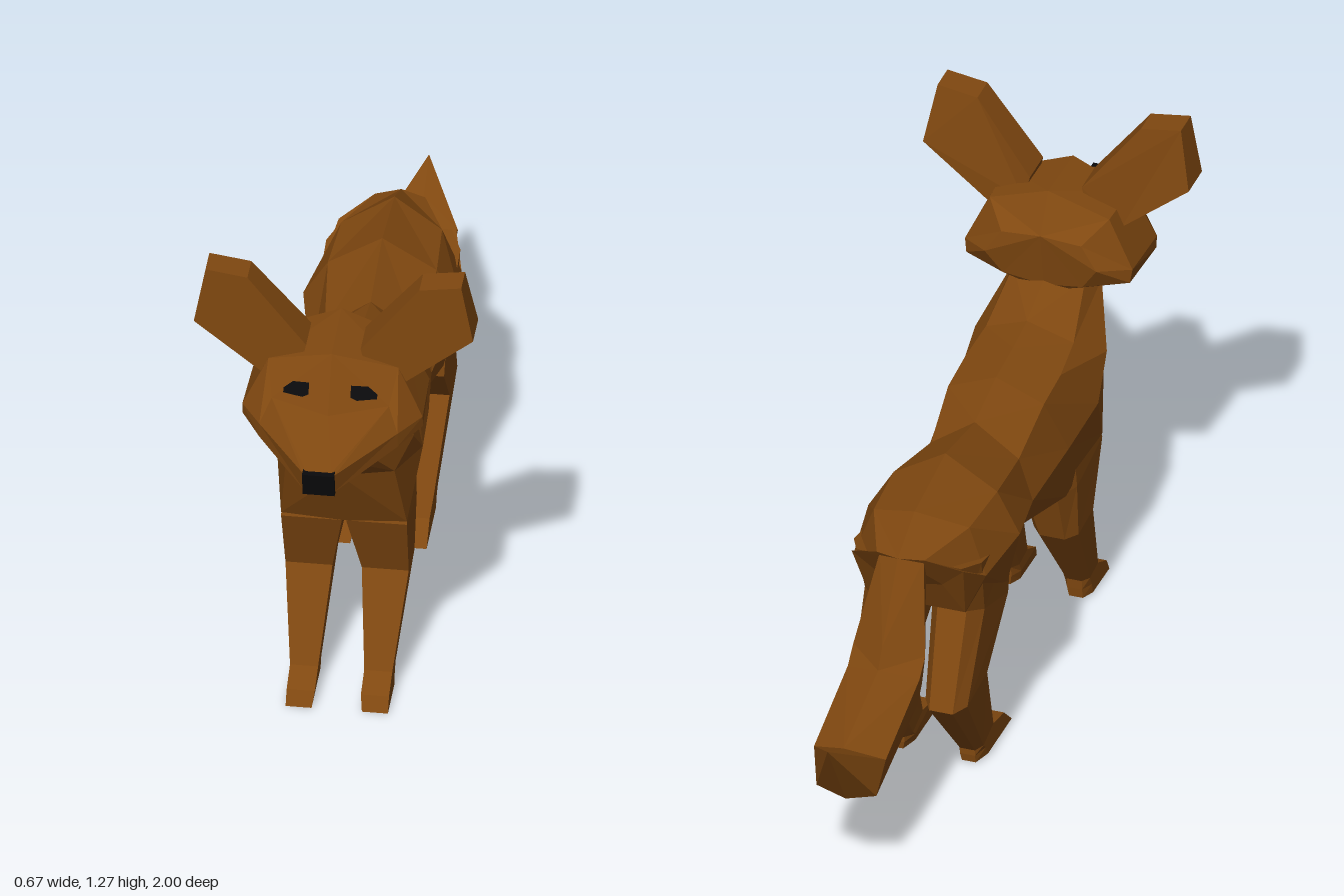
import * as THREE from 'three';

const fur = new THREE.MeshStandardMaterial({ color: 0x804810, flatShading: true });
fur.name = 'brown fur';
const black = new THREE.MeshStandardMaterial({ color: 0x0a0a0c, flatShading: true, side: THREE.DoubleSide });
black.name = 'black';

// Skins cross-sections and adds the mirror image across x = 0.
// Open sections are half profiles from top to bottom; closed ones are full rings.
function loft(sections, closed = false) {
  const pos = [];
  const tri = (a, b, c) => {
    pos.push(...a, ...b, ...c);
    for (const [x, y, z] of [a, c, b]) pos.push(-x, y, z);
  };
  const n = sections[0].length;
  const last = sections.length - 1;
  for (let i = 0; i < last; i++) {
    const s = sections[i], t = sections[i + 1];
    for (let j = 0; j < (closed ? n : n - 1); j++) {
      const k = (j + 1) % n;
      tri(s[j], t[j], t[k]);
      tri(s[j], t[k], s[k]);
    }
  }
  for (let j = 1; j < n - 1; j++) {
    tri(sections[0][0], sections[0][j], sections[0][j + 1]);
    tri(sections[last][0], sections[last][j + 1], sections[last][j]);
  }
  const g = new THREE.BufferGeometry();
  g.setAttribute('position', new THREE.Float32BufferAttribute(pos, 3));
  g.computeVertexNormals();
  return g;
}

// Leg ring: front and back heights and depths, inner and outer x; the back is bevelled.
function legRing([yf, zf, yb, zb, xi, xo]) {
  const ym = yf + (yb - yf) * 0.78, zm = zf + (zb - zf) * 0.78, b = (xo - xi) * 0.22;
  return [[xi, yf, zf], [xo, yf, zf], [xo, ym, zm], [xo - b, yb, zb], [xi + b, yb, zb], [xi, ym, zm]];
}

export function createModel() {
  const model = new THREE.Group();
  const add = (name, geometry, material = fur) => {
    const m = new THREE.Mesh(geometry, material);
    m.name = name;
    model.add(m);
    return m;
  };

  // Body, rump to neck
  add('body', loft([
    [[0, .71, -.5], [.06, .705, -.48], [.14, .66, -.43], [.08, .6, -.41], [0, .58, -.4]],
    [[0, .77, -.38], [.12, .72, -.33], [.165, .6, -.34], [.12, .5, -.36], [0, .5, -.36]],
    [[0, .8, -.16], [.13, .72, -.16], [.19, .62, -.17], [.15, .46, -.15], [0, .42, -.14]],
    [[0, .76, .05], [.11, .68, .05], [.145, .57, .05], [.12, .5, .05], [0, .45, .05]],
    [[0, .795, .2], [.12, .745, .2], [.165, .6, .25], [.14, .43, .3], [0, .43, .29]],
    [[0, .805, .32], [.12, .755, .32], [.175, .62, .43], [.15, .47, .53], [0, .46, .53]],
    [[0, .82, .42], [.11, .77, .44], [.165, .71, .52], [.13, .66, .6], [0, .65, .62]],
    [[0, .87, .56], [.09, .86, .58], [.11, .83, .64], [.07, .79, .72], [0, .78, .745]],
  ]));

  // Tail, tip to base
  add('tail', loft([
    [[0, .47, -1], [0, .47, -1], [0, .47, -1], [0, .47, -1]],
    [[0, .41, -.885], [.09, .37, -.84], [.075, .28, -.865], [0, .26, -.87]],
    [[0, .48, -.64], [.09, .45, -.6], [.075, .36, -.57], [0, .34, -.58]],
    [[0, .53, -.61], [.09, .49, -.56], [.075, .4, -.54], [0, .38, -.55]],
    [[0, .71, -.5], [.055, .7, -.47], [.05, .66, -.44], [0, .65, -.43]],
  ]));

  // Head, back of skull to muzzle
  add('head', loft([
    [[0, 1.0, .515], [.1, .99, .52], [.14, .93, .515], [.1, .87, .53], [0, .85, .54]],
    [[0, 1.095, .57], [.15, 1.04, .58], [.21, .915, .575], [.205, .88, .57], [0, .82, .56]],
    [[0, 1.085, .75], [.155, 1.04, .72], [.215, .915, .735], [.215, .885, .73], [0, .785, .74]],
    [[0, .955, .82], [.14, .965, .775], [.165, .912, .81], [.165, .875, .81], [0, .797, .87]],
    [[0, .905, .985], [.03, .905, .985], [.038, .9, .985], [.036, .845, .975], [0, .842, .97]],
  ]));

  // Both front legs, then both hind legs
  add('frontLegs', loft([
    [.6, .48, .56, .3, .02, .145], [.46, .53, .42, .3, .005, .15], [.29, .473, .28, .34, .035, .147],
    [.07, .58, .06, .505, .055, .122], [.04, .64, .035, .507, .055, .122], [.005, .66, .01, .51, .06, .122],
  ].map(legRing), true));
  add('hindLegs', loft([
    [.6, -.14, .66, -.42, .03, .16], [.43, -.14, .5, -.355, .02, .15], [.285, -.275, .27, -.455, .04, .145],
    [.07, -.165, .045, -.255, .055, .122], [.055, -.09, .03, -.255, .055, .122], [.005, -.035, .01, -.252, .06, .122],
  ].map(legRing), true));

  // Nose, narrower and set back at the bottom
  const nose = new THREE.BoxGeometry(.076, .065, .04);
  const np = nose.attributes.position;
  for (let i = 0; i < np.count; i++) if (np.getY(i) < 0) np.setZ(i, np.getZ(i) - .015);
  nose.translate(0, .873, .98);
  nose.computeVertexNormals();
  add('nose', nose, black);

  for (const s of [1, -1]) {
    const side = s > 0 ? 'left' : 'right';
    const shape = pts => new THREE.Shape(pts.map(([x, y]) => new THREE.Vector2(s * x, y)));

    // Ear, thicker toward its root
    const ear = new THREE.ExtrudeGeometry(
      shape([[.065, 1.085], [.205, 1.265], [.305, 1.28], [.333, 1.13], [.165, .995], [.08, 1.02]]),
      { depth: 1, bevelEnabled: false });
    const ep = ear.attributes.position;
    for (let i = 0; i < ep.count; i++) {
      const root = THREE.MathUtils.clamp((1.27 - ep.getY(i)) / .14, 0, 1);
      ep.setZ(i, ep.getZ(i) > .5 ? .72 : .65 - .025 * root);
    }
    ear.computeVertexNormals();
    add(side + 'Ear', ear);

    // Eye, a thin face lying on the slope of the forehead
    const eye = new THREE.ShapeGeometry(
      shape([[.05, .993], [.065, .985], [.112, .985], [.112, .995], [.09, 1.013], [.05, 1.018]]));
    const yp = eye.attributes.position;
    for (let i = 0; i < yp.count; i++) {
      yp.setZ(i, .826 - .283 * Math.abs(yp.getX(i)) - .538 * (yp.getY(i) - .955));
    }
    eye.computeVertexNormals();
    add(side + 'Eye', eye, black);
  }
  return model;
}
